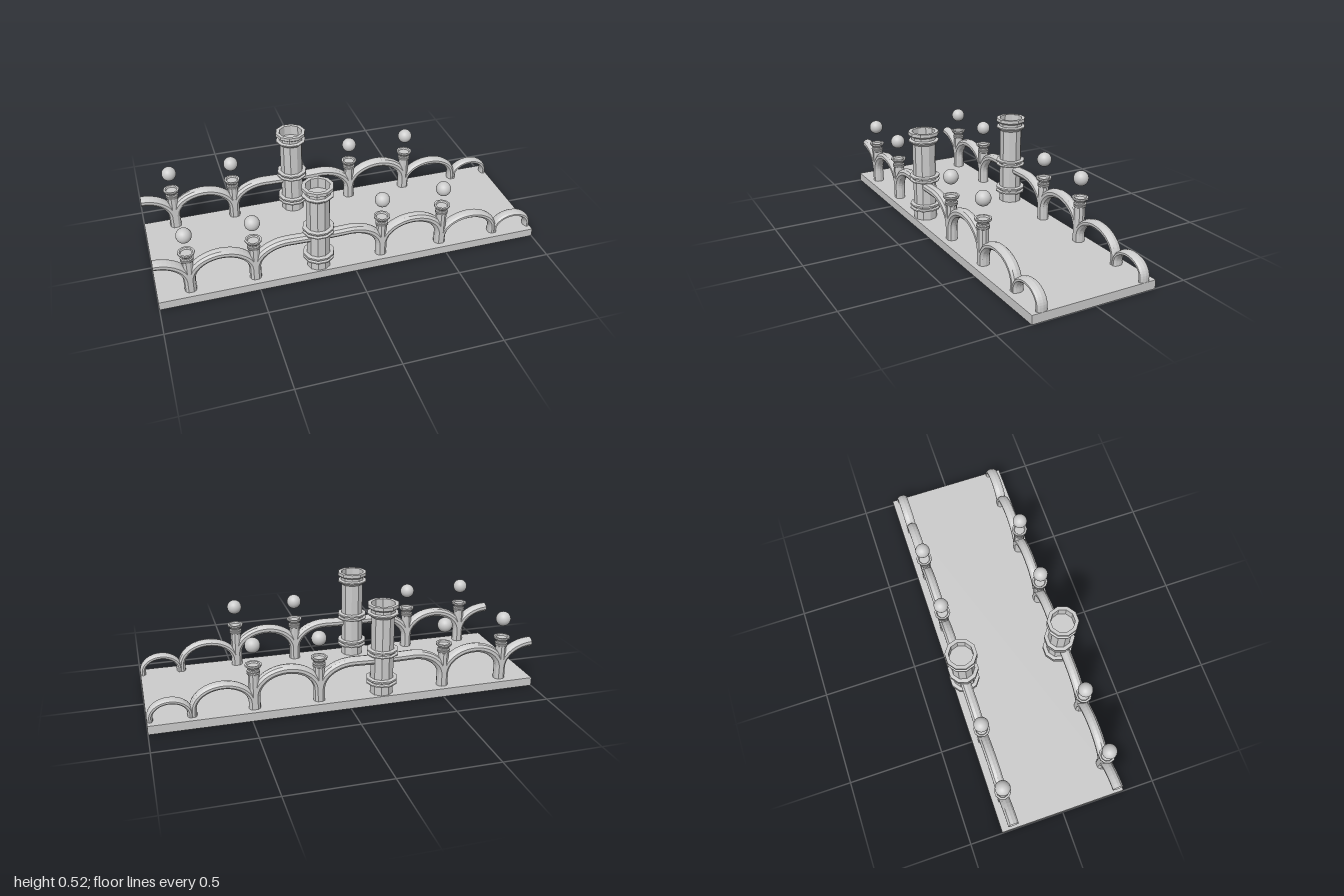
import * as THREE from 'three';

const DECK_TOP = 0.045;
const RAIL_Z = 0.273, TOWER_Z = 0.264, TOWER_X = -0.18;
const PILLARS = [-0.835, -0.51, 0.15, 0.478];

const faceted = new THREE.MeshStandardMaterial({ color: 0xcccccc, flatShading: true, side: THREE.DoubleSide });
const smooth = new THREE.MeshStandardMaterial({ color: 0xcccccc });

function add(parent, name, geometry, material = faceted) {
  const mesh = new THREE.Mesh(geometry, material);
  mesh.name = name;
  parent.add(mesh);
  return mesh;
}

const lathe = (profile, sides) =>
  new THREE.LatheGeometry(profile.map(([r, y]) => new THREE.Vector2(r, y)), sides, Math.PI / 2);

// Sweeps an oval section (half thickness t in the arch plane, w across it) along a path in x, y
function sweep(path, t, w, sides = 10) {
  const pos = [], index = [];
  path.forEach((p, i) => {
    const a = path[Math.max(i - 1, 0)], b = path[Math.min(i + 1, path.length - 1)];
    const d = b.clone().sub(a).normalize();
    for (let j = 0; j < sides; j++) {
      const s = (j / sides) * Math.PI * 2;
      const n = Math.cos(s) * t;
      pos.push(p.x - d.y * n, p.y + d.x * n, Math.sin(s) * w);
      if (i > 0) {
        const k = (j + 1) % sides, r = i * sides, q = r - sides;
        index.push(q + j, r + j, r + k, q + j, r + k, q + k);
      }
    }
  });
  const g = new THREE.BufferGeometry();
  g.setAttribute('position', new THREE.Float32BufferAttribute(pos, 3));
  g.setIndex(index);
  g.computeVertexNormals();
  return g;
}

// Arch from a leg at x0 over an elliptical crown; end = PI for a full arch, PI / 2 for a half
function archPath(x0, x1, spring, apex, end = Math.PI) {
  const cx = (x0 + x1) / 2, a = cx - x0, steps = Math.round(end / Math.PI * 24);
  const pts = [new THREE.Vector2(x0, DECK_TOP)];
  for (let i = 0; i <= steps; i++) {
    const s = (i / steps) * end;
    pts.push(new THREE.Vector2(cx - a * Math.cos(s), spring + (apex - spring) * Math.sin(s)));
  }
  if (end === Math.PI) pts.push(new THREE.Vector2(x1, DECK_TOP));
  return pts;
}

// Hollow-topped tower with three pairs of collars
const towerProfile = [
  [0.0605, DECK_TOP],
  [0.0605, 0.095], [0.08, 0.098], [0.08, 0.105], [0.066, 0.108],
  [0.066, 0.116], [0.08, 0.119], [0.08, 0.128], [0.0605, 0.131],
  [0.0605, 0.253], [0.08, 0.256], [0.08, 0.261], [0.066, 0.264],
  [0.066, 0.274], [0.08, 0.277], [0.08, 0.285], [0.0605, 0.288],
  [0.0605, 0.456], [0.08, 0.472], [0.08, 0.478], [0.064, 0.482],
  [0.064, 0.496], [0.08, 0.507], [0.08, 0.524], [0.061, 0.524],
  [0.061, 0.47], [0, 0.47],
];

// Pillar shaft with ringed neck and flared, slightly dished capital
const pillarProfile = [
  [0.028, DECK_TOP], [0.028, 0.228],
  [0.033, 0.231], [0.033, 0.236], [0.027, 0.239],
  [0.033, 0.242], [0.033, 0.247], [0.027, 0.250],
  [0.027, 0.257], [0.042, 0.272], [0.042, 0.28],
  [0.032, 0.28], [0.028, 0.272], [0, 0.272],
];

function createSide(sign) {
  const side = new THREE.Group();
  side.name = sign > 0 ? 'frontArcade' : 'backArcade';

  const tower = add(side, 'tower', lathe(towerProfile, 10));
  tower.position.set(TOWER_X, 0, sign * TOWER_Z);

  for (const x of PILLARS) {
    add(side, 'pillar', lathe(pillarProfile, 10)).position.set(x, 0, sign * RAIL_Z);
    add(side, 'globe', new THREE.SphereGeometry(0.038, 24, 16), smooth).position.set(x, 0.377, sign * RAIL_Z);
  }

  const arch = (name, path, t) => {
    add(side, name, sweep(path, t, 0.028)).position.z = sign * RAIL_Z;
  };
  const [p0, p1, p2, p3] = PILLARS, o = 0.005, spring = 0.11, apex = 0.233;

  // Half arch cut off at the end of the deck
  arch('endHalfArch', archPath(p0 - o, -2 - p0 + o, spring, apex, Math.PI / 2), 0.025);
  // Full arches between neighbouring pillars
  arch('arch', archPath(p0 + o, p1 - o, spring, apex), 0.025);
  arch('arch', archPath(p2 + o, p3 - o, spring, apex), 0.025);
  // Arches that run level into the tower
  for (const [x, crown] of [[p1 + o, -0.34], [p2 - o, -0.02]]) {
    const path = archPath(x, 2 * crown - x, spring, apex, Math.PI / 2);
    path.push(new THREE.Vector2(TOWER_X, apex - 0.004));
    arch('towerArch', path, 0.025);
  }
  // Descending arches
  arch('mediumArch', archPath(p3 + 0.01, 0.778, 0.08, 0.187), 0.019);
  arch('smallArch', archPath(0.792, 0.985, 0.065, 0.138), 0.015);
  return side;
}

export function createModel() {
  const model = new THREE.Group();
  model.name = 'arcadedBridge';
  const deck = add(model, 'deck', new THREE.BoxGeometry(2, DECK_TOP, 0.66));
  deck.position.y = DECK_TOP / 2;
  model.add(createSide(1), createSide(-1));
  return model;
}
